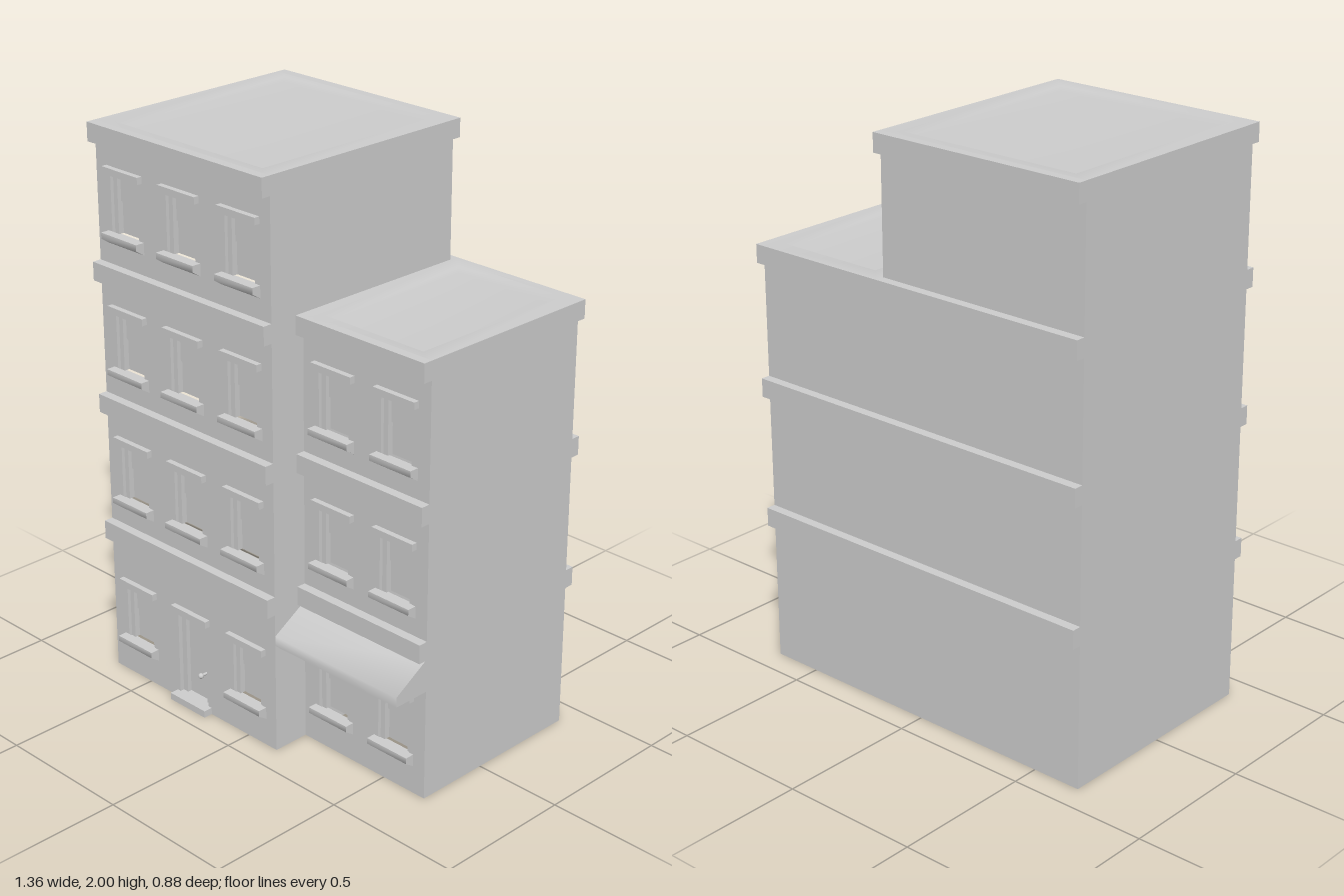
import * as THREE from 'three';
import { toCreasedNormals } from 'three/addons/utils/BufferGeometryUtils.js';

export function createModel() {
  const root = new THREE.Group();
  root.name = 'townBuilding';
  const stone = new THREE.MeshStandardMaterial({ color: 0xcccccc });
  stone.name = 'pale grey';

  const add = (parent, geometry, name, x = 0, y = 0, z = 0) => {
    const mesh = new THREE.Mesh(geometry, stone);
    mesh.name = name;
    mesh.position.set(x, y, z);
    parent.add(mesh);
    return mesh;
  };
  // box given by its limits
  const box = (parent, name, x0, x1, y0, y1, z0, z1) =>
    add(parent, new THREE.BoxGeometry(x1 - x0, y1 - y0, z1 - z0), name,
      (x0 + x1) / 2, (y0 + y1) / 2, (z0 + z1) / 2);
  const rect = (x0, x1, y0, y1, Type = THREE.Shape) => new Type([
    new THREE.Vector2(x0, y0), new THREE.Vector2(x1, y0),
    new THREE.Vector2(x1, y1), new THREE.Vector2(x0, y1)]);
  // slab with rectangular openings, its front at z = 0
  const pierced = (outer, holes, depth) => {
    const shape = rect(...outer);
    holes.forEach(h => shape.holes.push(rect(...h, THREE.Path)));
    return new THREE.ExtrudeGeometry(shape, { depth, bevelEnabled: false }).translate(0, 0, -depth);
  };
  // [z, y] profile swept across the width, soft on its blunt edges
  const sweep = (profile, width) => {
    const shape = new THREE.Shape(profile.map(([z, y]) => new THREE.Vector2(z, y)));
    const g = new THREE.ExtrudeGeometry(shape, { depth: width, bevelEnabled: false });
    return toCreasedNormals(g.rotateY(-Math.PI / 2).translate(width / 2, 0, 0), 1.15);
  };
  const plane = (parent, name, w, h, x, y, z, rx = 0, ry = 0) =>
    add(parent, new THREE.PlaneGeometry(w, h), name, x, y, z).rotation.set(rx, ry, 0);

  // shallow sunken roof from nested rectangles, softly shaded
  const roof = (parent, x0, x1, z0, z1, y) => {
    const pos = [], idx = [];
    [[0, 0], [0.065, 0], [0.078, -0.015]].forEach(([d, h]) => pos.push(
      x0 + d, y + h, z0 + d, x0 + d, y + h, z1 - d, x1 - d, y + h, z1 - d, x1 - d, y + h, z0 + d));
    for (let r = 0; r < 2; r++) for (let k = 0; k < 4; k++) {
      const a = r * 4 + k, b = r * 4 + (k + 1) % 4;
      idx.push(a, b, b + 4, a, b + 4, a + 4);
    }
    idx.push(8, 9, 10, 8, 10, 11);
    const g = new THREE.BufferGeometry();
    g.setAttribute('position', new THREE.Float32BufferAttribute(pos, 3));
    g.setIndex(idx);
    g.computeVertexNormals();
    add(parent, g, 'roof');
  };

  const LEFT = -0.679, MID = 0.135, RIGHT = 0.679;
  const BACK = -0.405, FRONT = 0.405, WING = 0.27, LEDGE = 0.033;
  const floors = [0.1, 0.64, 1.115, 1.595];
  const bands = [[0.51, 0.577], [0.987, 1.053], [1.46, 1.525], [1.935, 2]];
  const DOOR = -0.273;

  // sash window: y is the underside of its sill
  const makeWindow = (parent, x, y, z) => {
    const w = new THREE.Group();
    w.name = 'window';
    w.position.set(x, y, z);
    parent.add(w);
    add(w, sweep([[0, 0], [LEDGE, 0.022], [LEDGE, 0.043], [0, 0.043]], 0.174), 'sill');
    box(w, 'lintel', -0.087, 0.087, 0.241, 0.265, 0, 0.02);
    for (const s of [-1, 1]) {
      box(w, 'jamb', s * 0.0595 - 0.0095, s * 0.0595 + 0.0095, 0.035, 0.25, -0.04, -0.012);
    }
    box(w, 'upperSash', -0.05, 0.05, 0.145, 0.25, -0.036, -0.026);
    box(w, 'lowerSash', -0.05, 0.05, 0.035, 0.145, -0.04, -0.032);
  };

  // front wall with windows in every floor
  const facade = (parent, x0, x1, top, z, columns, rows, doorX) => {
    const holes = [];
    for (const y of floors.slice(0, rows)) for (const x of columns) {
      if (x === doorX && y === floors[0]) {
        holes.push([x - 0.072, x + 0.072, 0.012, 0.35]);
      } else {
        holes.push([x - 0.069, x + 0.069, y + 0.035, y + 0.25]);
        makeWindow(parent, x, y, z);
      }
    }
    add(parent, pierced([x0, x1, 0, top - 0.02], holes, 0.02), 'frontWall', 0, 0, z);
    bands.slice(0, rows).forEach(([a, b]) => {
      box(parent, 'frontBand', x0, x1, a, b, z, z + LEDGE);
      box(parent, 'backBand', x0, x1, a, b, BACK - LEDGE, BACK);
    });
    plane(parent, 'backWall', x1 - x0, top, (x0 + x1) / 2, top / 2, BACK, 0, Math.PI);
    roof(parent, x0, x1, BACK - LEDGE, z + LEDGE, top);
  };

  // tall block
  const tower = new THREE.Group();
  tower.name = 'tallBlock';
  root.add(tower);
  facade(tower, LEFT, MID, 2, FRONT, [-0.543, DOOR, 0], 4, DOOR);
  plane(tower, 'outerWall', FRONT - BACK, 2, LEFT, 1, 0, 0, -Math.PI / 2);
  plane(tower, 'innerWall', FRONT - BACK, 2, MID, 1, 0, 0, Math.PI / 2);
  plane(tower, 'base', MID - LEFT, FRONT - BACK, (LEFT + MID) / 2, 0, 0, Math.PI / 2);

  // lower wing, open underneath
  const wing = new THREE.Group();
  wing.name = 'lowWing';
  root.add(wing);
  facade(wing, MID, RIGHT, 1.525, WING, [0.272, 0.542], 3);
  plane(wing, 'sideWall', WING - BACK, 1.525, RIGHT, 0.7625, (WING + BACK) / 2, 0, Math.PI / 2);
  add(wing, sweep([[WING, 0.397], [0.405, 0.397], [0.405, 0.432], [WING, 0.513]], RIGHT - MID),
    'awning', (MID + RIGHT) / 2);

  // entrance
  const door = new THREE.Group();
  door.name = 'entrance';
  door.position.set(DOOR, 0, FRONT);
  root.add(door);
  box(door, 'threshold', -0.087, 0.087, 0, 0.025, -0.03, LEDGE);
  box(door, 'doorLintel', -0.087, 0.087, 0.341, 0.365, 0, 0.02);
  add(door, pierced([-0.072, 0.072, 0.012, 0.35], [[-0.05, 0.05, 0.02, 0.336]], 0.025),
    'doorFrame', 0, 0, -0.015);
  plane(door, 'doorLeaf', 0.1, 0.325, 0, 0.178, -0.03);
  add(door, new THREE.CylinderGeometry(0.005, 0.005, 0.025, 10).rotateX(Math.PI / 2),
    'knobStem', 0.033, 0.127, -0.02);
  add(door, new THREE.SphereGeometry(0.01, 14, 10), 'knob', 0.033, 0.127, -0.003);

  return root;
}
